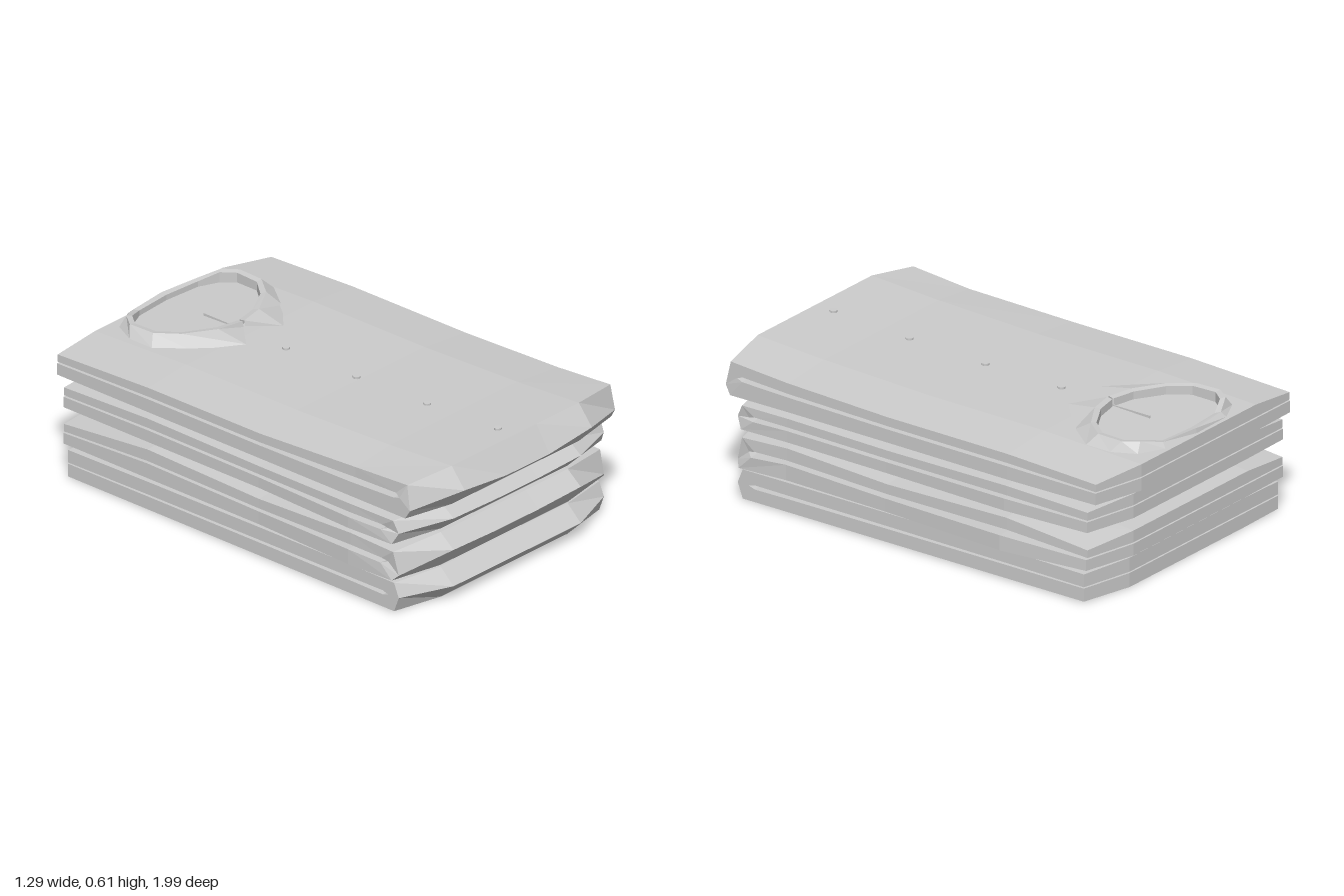
import * as THREE from 'three';

const grey = () => new THREE.MeshStandardMaterial({ color: 0xcccccc, flatShading: true, side: THREE.DoubleSide });

// Collects quads into one flat-shaded mesh
function quadMesh(name, quads) {
  const pos = [];
  for (const [a, b, c, d] of quads) pos.push(...a, ...b, ...c, ...a, ...c, ...d);
  const geo = new THREE.BufferGeometry();
  geo.setAttribute('position', new THREE.Float32BufferAttribute(pos, 3));
  geo.computeVertexNormals();
  const mesh = new THREE.Mesh(geo, grey());
  mesh.name = name;
  return mesh;
}

const columns = [-0.625, -0.4, -0.15, 0.1, 0.35, 0.585];
const leftHump = [0.2, 0.2, 0.2, 1, 0.6]; // sideways swell from back to front
const rightHump = [0.2, 1, 0.4, 0.2, 0.5];

// A folded shirt: two layers joined by a fold at the front, with a thin slit between them.
// top: heights from back to front; tip: fold height at corner, ridge and middle;
// left, right: swell of the [upper, lower] layer at the sides.
function foldedShirt({ name, back, front, bottom, top, tip, droop, left, right }) {
  const depths = [back, -0.5, 0.1, 0.6, front - 0.07];
  const outer = [], inner = [];
  for (let i = 0; i < 11; i++) {
    const layer = i < 5 ? 0 : 1;
    const k = layer ? 10 - i : i;
    const o = [], q = [];
    columns.forEach((cx, j) => {
      const end = j === 0 || j === 5;
      const inset = end ? 0.09 : 0;
      const slitFront = front - 0.14 - inset * 0.4;
      if (i === 5) {
        o.push([cx, tip[Math.min(j, 5 - j)], front - inset]);
        q.push([cx, (bottom + top[4]) / 2, slitFront + 0.03]);
        return;
      }
      let x = cx;
      if (j === 0) x -= left[layer] * leftHump[k];
      if (j === 5) x += right[layer] * rightHump[k];
      const z = depths[k] - (k === 4 ? inset * 0.5 : 0) + (k === 0 && j === 5 ? 0.05 : 0);
      const y = layer ? bottom + (end ? 0.004 : 0) : top[k] - (end ? droop : 0);
      const gap = 0.003 + 0.0015 * k;
      o.push([x, y, z]);
      q.push([x, (bottom + top[k]) / 2 + (layer ? -gap : gap), k === 4 ? slitFront : z]);
    });
    outer.push(o);
    inner.push(q);
  }
  const quads = [];
  for (let i = 0; i < 10; i++) {
    for (let j = 0; j < 5; j++) {
      quads.push([outer[i][j], outer[i + 1][j], outer[i + 1][j + 1], outer[i][j + 1]]);
      quads.push([inner[i][j], inner[i][j + 1], inner[i + 1][j + 1], inner[i + 1][j]]);
    }
    quads.push([outer[i][0], inner[i][0], inner[i + 1][0], outer[i + 1][0]]);
    quads.push([outer[i][5], outer[i + 1][5], inner[i + 1][5], inner[i][5]]);
  }
  for (let j = 0; j < 5; j++) {
    quads.push([outer[0][j], outer[0][j + 1], inner[0][j + 1], inner[0][j]]);
    quads.push([inner[10][j], inner[10][j + 1], outer[10][j + 1], outer[10][j]]);
  }
  return quadMesh(name, quads);
}

const shirts = [
  { name: 'bottomShirt', back: -0.93, front: 0.94, bottom: 0, top: [0.127, 0.132, 0.135, 0.136, 0.135],
    tip: [0.07, 0.07, 0.07], droop: 0.005, left: [0, 0], right: [0, 0] },
  { name: 'lowerMiddleShirt', back: -0.95, front: 0.94, bottom: 0.142, top: [0.25, 0.29, 0.275, 0.298, 0.288],
    tip: [0.17, 0.232, 0.225], droop: 0.018, left: [0.01, 0.025], right: [0.01, 0.055] },
  { name: 'upperMiddleShirt', back: -0.95, front: 0.94, bottom: 0.304, top: [0.41, 0.425, 0.418, 0.424, 0.424],
    tip: [0.357, 0.372, 0.365], droop: 0.015, left: [0.01, 0.025], right: [0.01, 0.025] },
  { name: 'topShirt', back: -0.99, front: 1, bottom: 0.434, top: [0.548, 0.566, 0.568, 0.584, 0.604],
    tip: [0.478, 0.518, 0.493], droop: 0.022, left: [-0.02, 0], right: [0, 0.01] },
];

// Collar: each row is outer edge x, z and neckline x, z from nape to throat
const collarRows = [
  [0, -0.99, 0, -0.985], [0.2, -0.985, 0.19, -0.965], [0.31, -0.93, 0.28, -0.92],
  [0.36, -0.83, 0.325, -0.86], [0.36, -0.71, 0.32, -0.74], [0.27, -0.58, 0.25, -0.65],
  [0.11, -0.43, 0.12, -0.57], [0.005, -0.54, 0.005, -0.545],
];

function collarHalf(name, side) {
  const rings = collarRows.map(([ox, oz, nx, nz], i) => {
    const rim = i < 2 ? 0.578 : 0.6;
    const base = i < 6 ? 0.558 : 0.576;
    const inset = 1 - 0.025 / Math.hypot(nx, nz + 0.77);
    const ix = nx * inset, iz = -0.77 + (nz + 0.77) * inset;
    return [[ox, base, oz], [nx, rim, nz], [ix, rim - 0.004, iz], [ix, 0.55, iz]]
      .map(([x, y, z]) => [side * x - 0.013, y, z]);
  });
  const quads = [];
  for (let i = 0; i < rings.length - 1; i++) {
    for (let k = 0; k < 3; k++) {
      const q = [rings[i][k], rings[i][k + 1], rings[i + 1][k + 1], rings[i + 1][k]];
      quads.push(side > 0 ? q : q.reverse());
    }
  }
  return quadMesh(name, quads);
}

export function createModel() {
  const model = new THREE.Group();
  model.name = 'foldedShirtStack';
  for (const s of shirts) model.add(foldedShirt(s));

  const collar = new THREE.Group();
  collar.name = 'collar';
  collar.add(collarHalf('collarLeft', 1), collarHalf('collarRight', -1));
  model.add(collar);

  // Placket edge below the neckline
  const placket = new THREE.Mesh(new THREE.BoxGeometry(0.005, 0.012, 0.2), grey());
  placket.name = 'placketEdge';
  placket.position.set(-0.02, 0.562, -0.65);
  model.add(placket);

  // Button row down the front
  [0.568, 0.57, 0.58, 0.6].forEach((y, i) => {
    const button = new THREE.Mesh(new THREE.CylinderGeometry(0.016, 0.016, 0.014, 10), grey());
    button.name = 'button' + (i + 1);
    button.position.set(-0.03, y, -0.3 + 0.38 * i);
    model.add(button);
  });
  return model;
}
